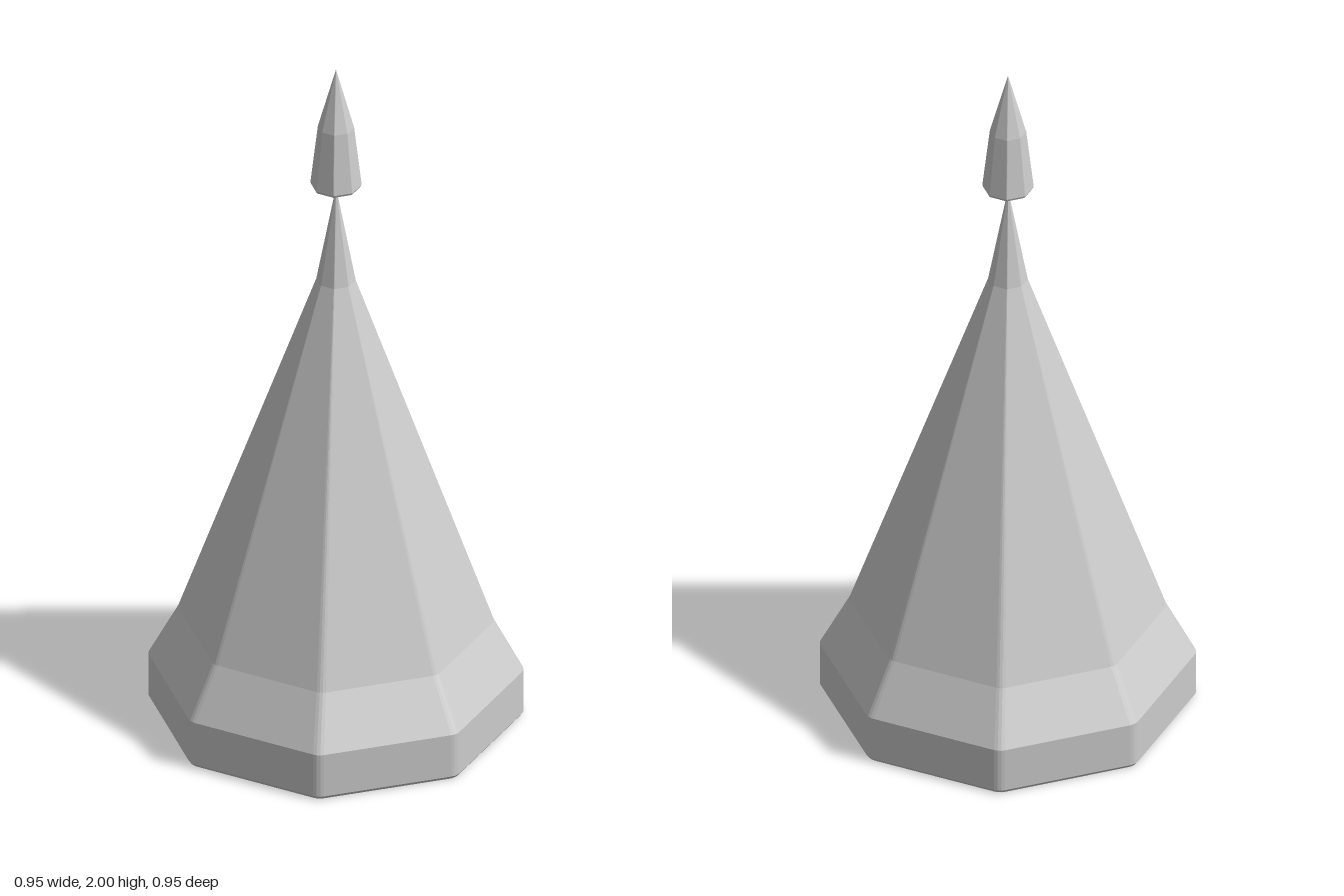
import * as THREE from 'three';

const SIDES = 8, ARC = 3, ROUND = 0.08;

// Unit octagon (apothem 1, flat side to the front) with softened corners
function octagon() {
  const pts = [], step = (Math.PI * 2) / SIDES;
  const reach = (1 - ROUND) / Math.cos(step / 2);
  for (let i = 0; i < SIDES; i++) {
    const corner = (i + 0.5) * step;
    for (let j = 0; j <= ARC; j++) {
      const a = corner + (j / ARC - 0.5) * step;
      pts.push([
        Math.sin(corner) * reach + Math.sin(a) * ROUND,
        Math.cos(corner) * reach + Math.cos(a) * ROUND,
      ]);
    }
  }
  return pts;
}

// Stack scaled octagons along a profile of [apothem, height], bottom to top
function spire(name, profile, material) {
  const ring = octagon(), n = ring.length;
  const positions = [], index = [];
  for (const [r, y] of profile) {
    for (const [x, z] of ring) positions.push(x * r, y, z * r);
  }
  for (let k = 0; k < profile.length - 1; k++) {
    for (let i = 0; i < n; i++) {
      const a = k * n + i, b = k * n + ((i + 1) % n);
      if (profile[k][0] > 0) index.push(a, b, b + n);
      if (profile[k + 1][0] > 0) index.push(a, b + n, a + n);
    }
  }
  const geometry = new THREE.BufferGeometry();
  geometry.setAttribute('position', new THREE.Float32BufferAttribute(positions, 3));
  geometry.setIndex(index);
  const flat = geometry.toNonIndexed();
  flat.computeVertexNormals();
  const mesh = new THREE.Mesh(flat, material);
  mesh.name = name;
  return mesh;
}

export function createModel() {
  const model = new THREE.Group();
  model.name = 'spireRoof';
  const grey = new THREE.MeshStandardMaterial({ color: 0xcccccc, flatShading: true });

  // Roof: closed underside, short skirt, flared eave, long taper, needle
  model.add(spire('roof', [
    [0, 0], [0.468, 0], [0.475, 0.01], [0.475, 0.14],
    [0.4, 0.29], [0.05, 1.34], [0, 1.63],
  ], grey));

  // Pointed cap standing on the needle
  model.add(spire('finial', [
    [0, 1.635], [0.062, 1.635], [0.065, 1.642], [0.046, 1.82], [0, 2],
  ], grey));

  return model;
}
